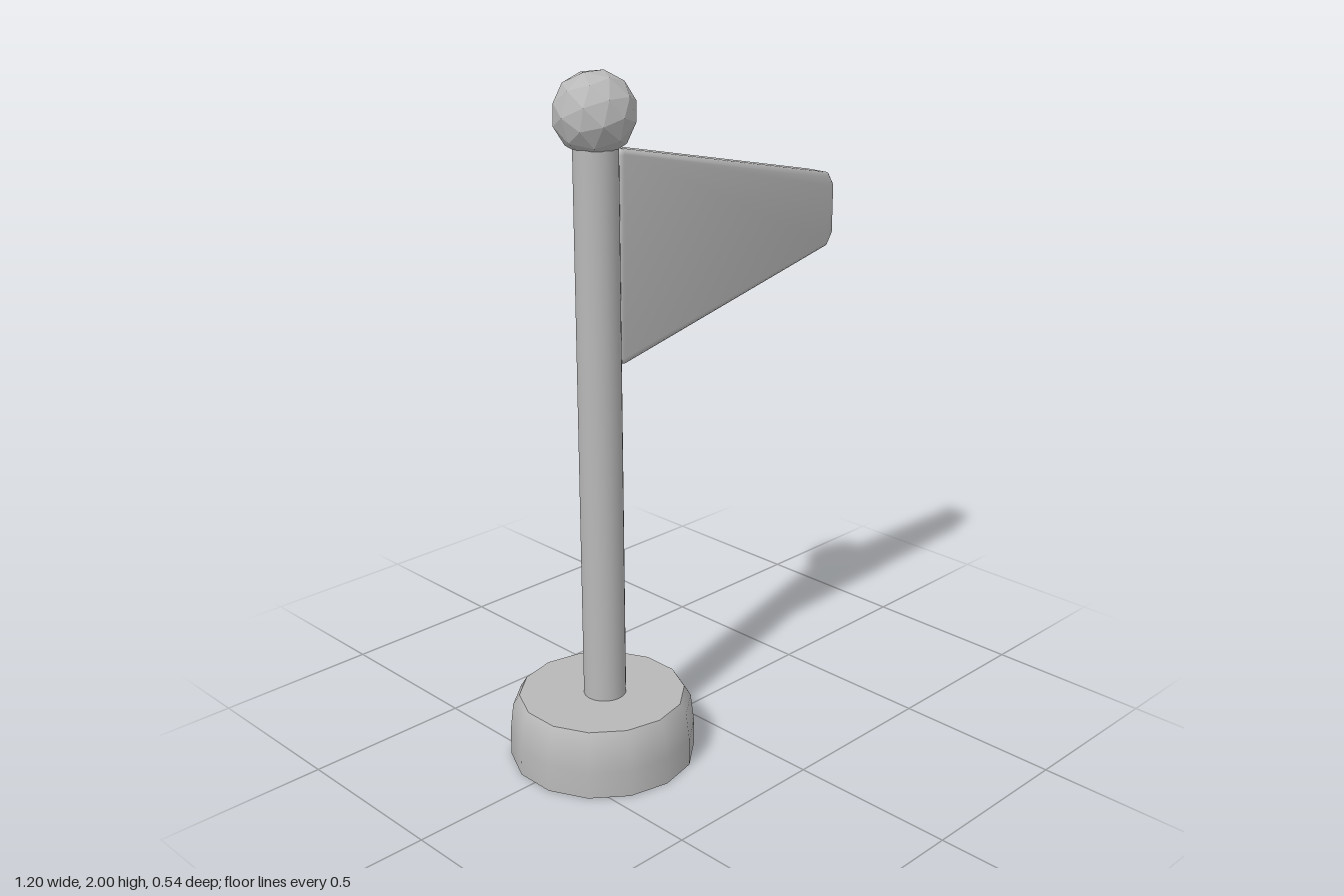
import * as THREE from 'three';
import { toCreasedNormals } from 'three/addons/utils/BufferGeometryUtils.js';

const POLE_X = -0.33;

export function createModel() {
  const group = new THREE.Group();
  const grey = new THREE.MeshStandardMaterial({ color: 0xb8b8b8 });
  grey.name = 'plain grey';

  const add = (name, geometry, x, y, z) => {
    const mesh = new THREE.Mesh(geometry, grey);
    mesh.name = name;
    mesh.position.set(x, y, z);
    group.add(mesh);
  };

  // Heavy round foot, slightly tapered with a bevelled top rim
  const footProfile = [[0, 0], [0.272, 0], [0.272, 0.08], [0.262, 0.165], [0.243, 0.195], [0, 0.195]]
    .map(([r, y]) => new THREE.Vector2(r, y));
  add('base', toCreasedNormals(new THREE.LatheGeometry(footProfile, 14), 0.7), POLE_X - 0.002, 0, 0);

  // Upright pole
  add('pole', new THREE.CylinderGeometry(0.062, 0.062, 1.66, 20), POLE_X + 0.002, 1.01, 0.008);

  // Faceted ball on top of the pole
  const ball = new THREE.IcosahedronGeometry(0.115, 1);
  ball.rotateX(0.55);
  ball.computeBoundingBox();
  add('finial', toCreasedNormals(ball, 0.3), POLE_X + 0.003, 2 - ball.boundingBox.max.y, 0.005);

  // Tapered pennant with clipped corners and softened edges
  const outline = [
    [-0.285, 1.215], [-0.27, 1.2], [0.575, 1.387], [0.6, 1.425],
    [0.6, 1.575], [0.575, 1.613], [-0.27, 1.797], [-0.285, 1.782],
  ].map(([x, y]) => new THREE.Vector2(x, y));
  const flag = new THREE.ExtrudeGeometry(new THREE.Shape(outline), {
    depth: 0.07, bevelEnabled: true, bevelThickness: 0.015,
    bevelSize: 0.015, bevelOffset: -0.015, bevelSegments: 3,
  });
  flag.translate(0, 0, -0.035);
  add('flag', toCreasedNormals(flag, 0.7), 0, 0, 0.004);

  return group;
}
